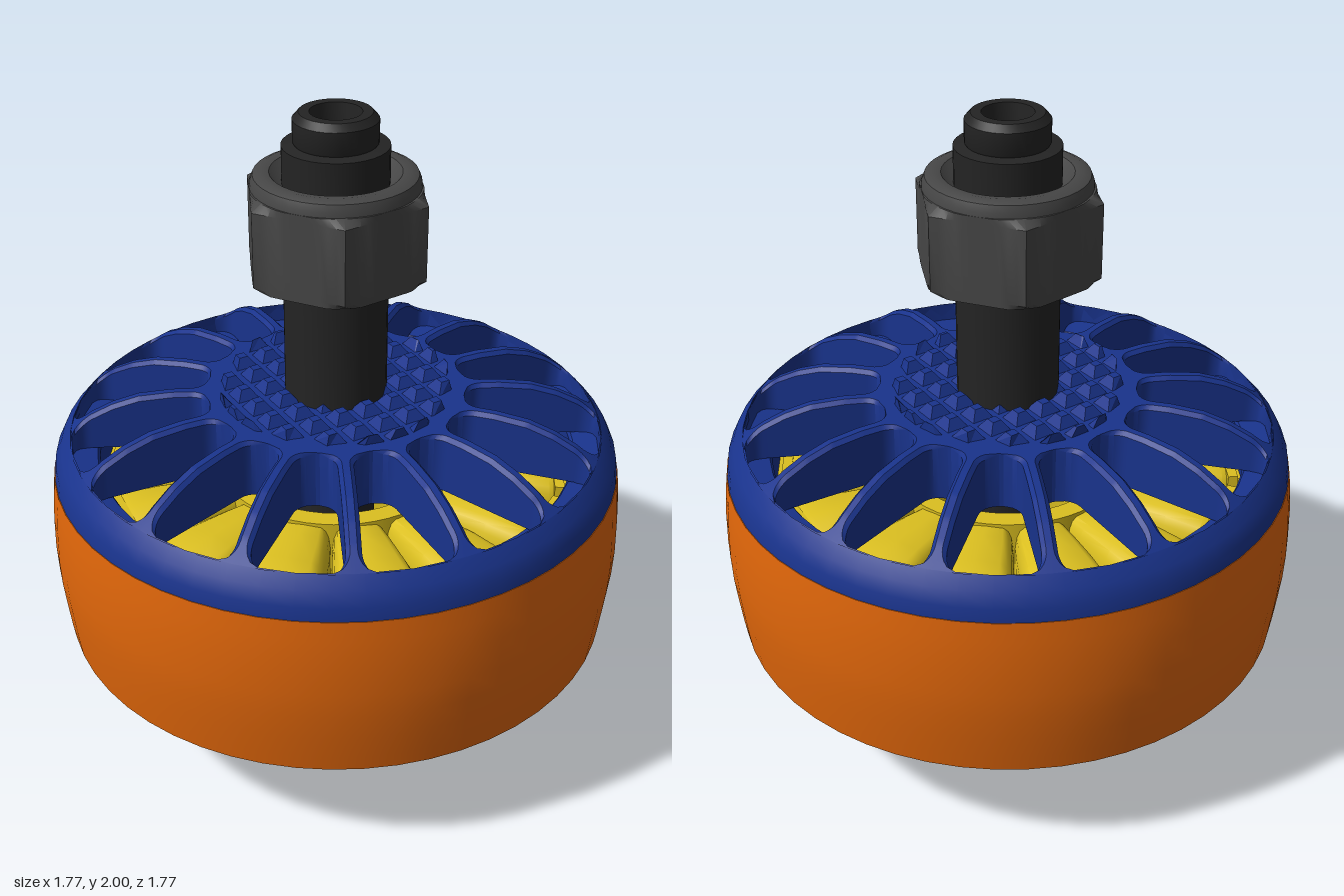
import * as THREE from 'three';
import { toCreasedNormals, mergeGeometries } from 'three/addons/utils/BufferGeometryUtils.js';

const mat = (color) => new THREE.MeshStandardMaterial({ color });
const BLUE = mat(0x19338c), ORANGE = mat(0xe0660a), YELLOW = mat(0xdcc020);
const STEEL = mat(0x242424), NUT = mat(0x464646);
const SPOKES = 16, TEETH = 14, PITCH = (Math.PI * 2) / SPOKES;

const crease = (g, a = 0.6) => toCreasedNormals(g, a);

function add(parent, name, geometry, material) {
  const mesh = new THREE.Mesh(geometry, material);
  mesh.name = name;
  parent.add(mesh);
}

function addGroup(parent, name) {
  const group = new THREE.Group();
  group.name = name;
  parent.add(group);
  return group;
}

// Revolved profile: outside runs upwards, inside downwards
function lathe(points, segments = 56) {
  return crease(new THREE.LatheGeometry(points.map(([r, y]) => new THREE.Vector2(r, y)), segments));
}

// Skin over closed rings of equal length, running along +x
function skin(rings) {
  const n = rings[0].length, index = [];
  for (let i = 0; i < rings.length - 1; i++) {
    for (let j = 0; j < n; j++) {
      const a = i * n + j, b = i * n + (j + 1) % n;
      index.push(a, b, a + n, b, b + n, a + n);
    }
  }
  const last = (rings.length - 1) * n;
  for (let j = 1; j < n - 1; j++) index.push(0, j + 1, j, last, last + j, last + j + 1);
  const g = new THREE.BufferGeometry();
  g.setAttribute('position', new THREE.Float32BufferAttribute(rings.flat(2), 3));
  g.setIndex(index);
  return crease(g);
}

// Copies of one geometry turned around the axis
function ringOf(geometry, count, start) {
  const copies = [];
  for (let i = 0; i < count; i++) {
    copies.push(geometry.clone().rotateY(-(start + (i * Math.PI * 2) / count)));
  }
  return mergeGeometries(copies);
}

// Height of the domed top at a radius
const DOME = [[0, 1.13], [0.5, 1.13], [0.6, 1.12], [0.68, 1.095], [0.75, 1.06], [0.81, 1.015], [0.84, 0.98], [0.87, 0.9]];
function domeY(r) {
  const i = DOME.findIndex(([radius]) => r <= radius);
  const [r0, y0] = DOME[i - 1], [r1, y1] = DOME[i];
  return y0 + ((y1 - y0) * (r - r0)) / (r1 - r0);
}

// Half width of the rounded window between two spokes
function windowHalf(r) {
  const r0 = 0.39, r1 = 0.81;
  if (r <= r0 || r >= r1) return 0;
  const full = r * Math.tan(PITCH / 2) - 0.024;
  const c = 0.055, d = Math.max(0, c - (r - r0), c - (r1 - r));
  return Math.max(0, full - c + Math.sqrt(c * c - d * d));
}

// Deep spoke with bevelled top edges that flares into hub and rim
function spokeGeometry() {
  const radii = [0.37];
  for (let i = 0; i <= 40; i++) radii.push(0.39 + (0.4199 * i) / 40);
  radii.push(0.81, 0.825);
  return skin(radii.map((r) => {
    const w = windowHalf(r), half = PITCH / 2 - w / r;
    const bevel = Math.min(1, w / 0.02) * 0.012;
    const y = domeY(r), low = Math.min(0.95, y - 0.1);
    const p = (a, h) => [r * Math.cos(a), h, r * Math.sin(a)];
    const inner = half - bevel / r;
    return [p(-inner, y), p(0, y), p(inner, y), p(half, y - bevel), p(half, low), p(-half, low), p(-half, y - bevel)];
  }));
}

// Winding with a boxy rounded section that widens outwards
function windingGeometry() {
  const rings = [[0.34, 0.076, 0.2], [0.42, 0.094, 0.205], [0.55, 0.118, 0.21], [0.66, 0.134, 0.205], [0.685, 0.125, 0.195]];
  const power = (v) => Math.sign(v) * Math.abs(v) ** 0.4;
  return skin(rings.map(([r, w, h]) => {
    const ring = [];
    for (let j = 0; j < 20; j++) {
      const t = (j / 20) * Math.PI * 2;
      ring.push([r, 0.66 + h * power(Math.cos(t)), w * power(Math.sin(t))]);
    }
    return ring;
  }));
}

// Hexagon whose corners are trimmed by a cone at both ends
function nutGeometry() {
  const levels = [[1.52, 0.262], [1.537, 0.285], [1.765, 0.285], [1.785, 0.252]];
  const offset = (-11 * Math.PI) / 180, count = 72;
  return skin(levels.map(([y, limit]) => {
    const ring = [];
    for (let j = 0; j < count; j++) {
      const t = (j / count) * Math.PI * 2;
      const local = ((j % 12) / 12 - 0.5) * (Math.PI / 3);
      const r = Math.min(limit, (0.285 * Math.cos(Math.PI / 6)) / Math.cos(local));
      ring.push([y, -r * Math.cos(t + offset), -r * Math.sin(t + offset)]);
    }
    return ring;
  })).rotateZ(Math.PI / 2);
}

// Pyramids on a diagonal grid, held within the round hub
function gripGeometry() {
  const cell = 0.09, list = [];
  for (let i = -4; i <= 4; i++) {
    for (let j = -4; j <= 4; j++) {
      const d = Math.hypot(i, j) * cell;
      if (d > 0.38 || d < 0.12) continue;
      const g = new THREE.CylinderGeometry(0.02, cell * 0.707, 0.045, 4, 1).toNonIndexed();
      g.rotateY(Math.PI / 4).translate(i * cell, 1.1375, j * cell);
      const pos = g.attributes.position;
      for (let k = 0; k < pos.count; k++) {
        const s = Math.min(1, 0.357 / Math.hypot(pos.getX(k), pos.getZ(k)));
        pos.setXYZ(k, pos.getX(k) * s, pos.getY(k), pos.getZ(k) * s);
      }
      g.computeVertexNormals();
      list.push(g);
    }
  }
  return mergeGeometries(list).rotateY(Math.PI / 4);
}

export function createModel() {
  const model = new THREE.Group();
  model.name = 'motor';

  // Shaft, threaded post and stepped tip with a socket
  const shaft = addGroup(model, 'shaft');
  add(shaft, 'lowerShaft', lathe([[0, 0.05], [0.065, 0.05], [0.065, 0], [0.105, 0], [0.122, 0.02], [0.122, 1.14]], 32), STEEL);
  add(shaft, 'upperPost', lathe([[0.1, 1.1], [0.155, 1.1], [0.155, 1.905], [0.12, 1.91], [0.123, 1.915],
    [0.123, 1.98], [0.105, 2], [0.075, 2], [0.07, 1.93], [0, 1.92]], 32), STEEL);

  // Lock nut with a rounded collar
  const nut = addGroup(model, 'lockNut');
  add(nut, 'hexBody', nutGeometry(), NUT);
  add(nut, 'collar', lathe([[0.247, 1.78], [0.245, 1.8], [0.237, 1.82], [0.215, 1.83], [0.19, 1.826], [0.165, 1.8], [0.15, 1.79]], 40), NUT);

  // Outer can
  const bell = addGroup(model, 'bell');
  add(bell, 'outerCan', lathe([[0.852, 0.37], [0.86, 0.37], [0.867, 0.42], [0.876, 0.5], [0.884, 0.58], [0.887, 0.66],
    [0.884, 0.76], [0.878, 0.84], [0.87, 0.9], [0.85, 0.9], [0.852, 0.37]]), ORANGE);

  // Thick rim ring with pocket floor, inner wall and a lip below
  add(bell, 'rimRing', lathe([[0.842, 0.37], [0.856, 0.37], [0.858, 0.9], [0.868, 0.9], [0.862, 0.94], [0.843, 0.98],
    [0.812, 1.015], [0.808, 0.955], [0.735, 0.945], [0.728, 0.935], [0.728, 0.395], [0.842, 0.395], [0.842, 0.37]]), BLUE);

  // Radial spokes, and T-shaped ribs under the ring
  const start = (5 * Math.PI) / 180;
  add(bell, 'spokes', ringOf(spokeGeometry(), SPOKES, start), BLUE);
  const rib = mergeGeometries([
    new THREE.BoxGeometry(0.11, 0.03, 0.025).translate(0.79, 0.387, 0),
    new THREE.BoxGeometry(0.02, 0.03, 0.06).translate(0.74, 0.387, 0),
  ]);
  add(bell, 'lowerRibs', ringOf(rib, SPOKES, start), BLUE);

  // Hub with grip pattern
  add(bell, 'hub', lathe([[0.12, 0.9], [0.25, 0.9], [0.26, 0.95], [0.392, 0.95], [0.392, 1.13], [0.12, 1.13]]), BLUE);
  add(bell, 'gripPattern', gripGeometry(), BLUE);

  // Stator core, windings and pole shoes
  const stator = addGroup(model, 'stator');
  add(stator, 'coreTube', lathe([[0.31, 0.45], [0.37, 0.45], [0.37, 0.87], [0.31, 0.87], [0.31, 0.45]]), YELLOW);
  const toothStart = (-89 * Math.PI) / 180;
  add(stator, 'windings', ringOf(windingGeometry(), TEETH, toothStart), YELLOW);
  const shoe = mergeGeometries([
    new THREE.BoxGeometry(0.03, 0.4, 0.26).translate(0.69, 0.66, 0),
    new THREE.BoxGeometry(0.02, 0.36, 0.22).translate(0.71, 0.66, 0),
  ]);
  add(stator, 'poleShoes', ringOf(shoe, TEETH, toothStart), YELLOW);

  return model;
}
